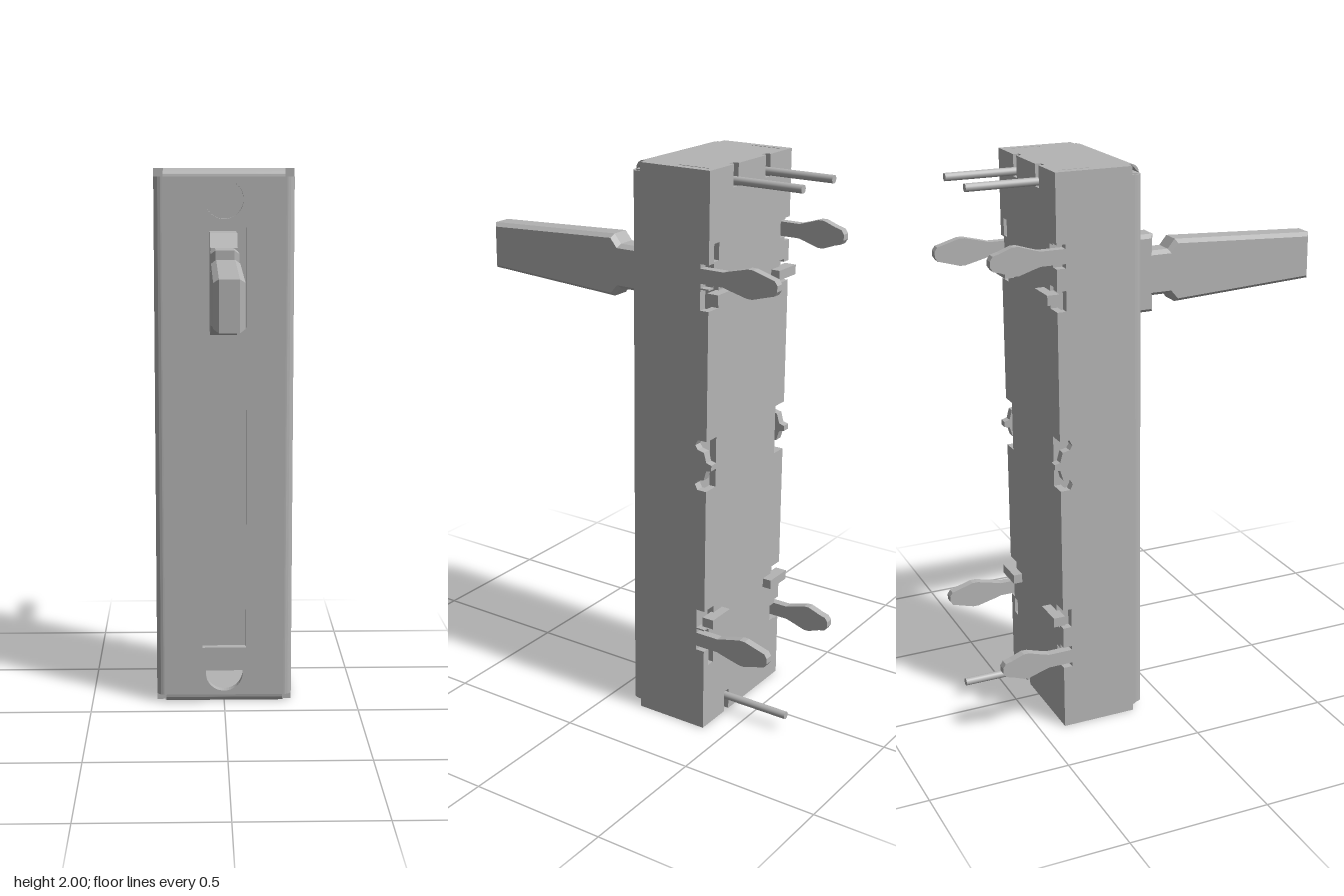
import * as THREE from 'three';
import { toCreasedNormals } from 'three/addons/utils/BufferGeometryUtils.js';

const metal = new THREE.MeshStandardMaterial({ color: 0xb4b4b4 });
metal.name = 'grey metal';

export function createModel() {
  const group = new THREE.Group();

  const add = (name, geometry) => {
    const mesh = new THREE.Mesh(geometry, metal);
    mesh.name = name;
    group.add(mesh);
    return mesh;
  };
  const box = (name, x0, x1, y0, y1, z0, z1) =>
    add(name, new THREE.BoxGeometry(x1 - x0, y1 - y0, z1 - z0)
      .translate((x0 + x1) / 2, (y0 + y1) / 2, (z0 + z1) / 2));
  const outline = (points) => new THREE.Shape(points.map(([a, b]) => new THREE.Vector2(a, b)));
  const rect = (x0, x1, y0, y1) => outline([[x0, y0], [x1, y0], [x1, y1], [x0, y1]]);
  const extrude = (shape, depth, extra = {}) =>
    new THREE.ExtrudeGeometry(shape, { depth, bevelEnabled: false, curveSegments: 24, ...extra });
  // Profile drawn as (-z, y), extruded along x from x0
  const alongX = (shape, x0, depth, extra) =>
    extrude(shape, depth, extra).rotateY(Math.PI / 2).translate(x0, 0, 0);
  // Plan drawn as (x, -z), extruded along y from y0
  const alongY = (shape, y0, depth) =>
    extrude(shape, depth).rotateX(-Math.PI / 2).translate(0, y0, 0);

  // Front plate with travel slot and two screw holes
  const face = rect(-0.225, 0.225, 0.03, 1.97);
  face.holes.push(rect(-0.082, 0.082, 0.215, 1.79));
  for (const y of [0.115, 1.89]) {
    face.holes.push(new THREE.Path().absarc(0, y, 0.07, 0, Math.PI * 2, true));
  }
  add('frontPlate', extrude(face, 0.03).translate(0, 0, -0.13));

  // Rounded bends around the front plate
  const bend = (cx, cy, start) => {
    const s = new THREE.Shape();
    s.moveTo(cx, cy);
    s.absarc(cx, cy, 0.03, start, start + Math.PI / 2, false);
    s.closePath();
    return s;
  };
  const smooth = (g) => toCreasedNormals(g, 0.6);
  add('leftBend', smooth(alongY(bend(0.225, 0.13, -Math.PI / 2), 0.03, 1.94)));
  add('rightBend', smooth(alongY(bend(-0.225, 0.13, Math.PI), 0.03, 1.94)));
  add('topBend', smooth(alongX(bend(0.13, 1.97, Math.PI / 2), -0.22, 0.44)));
  add('bottomBend', smooth(alongX(bend(0.13, 0.03, Math.PI), -0.22, 0.44)));

  // Side walls, with rear notches at the lugs, clips and middle crimp
  for (const side of [-1, 1]) {
    const clipY = side > 0 ? 1.655 : 1.725;
    const notch = (a, b) => [[0.41, a], [0.378, a], [0.378, b], [0.41, b]];
    const upper = [[1.54, 1.61], [clipY - 0.04, clipY - 0.025], [clipY + 0.025, clipY + 0.04]]
      .filter(([a]) => a >= 1.6 || a === 1.54);
    const lower = upper.map(([a, b]) => [2 - b, 2 - a]).reverse();
    const rear = [
      ...lower.flatMap(([a, b]) => notch(a, b)),
      [0.41, 0.91], [0.375, 0.91], [0.365, 0.93], [0.375, 0.945], [0.4, 0.95], [0.41, 0.985], [0.43, 0.99],
      [0.43, 1.01], [0.41, 1.015], [0.4, 1.05], [0.375, 1.055], [0.365, 1.07], [0.375, 1.09], [0.41, 1.09],
      ...upper.flatMap(([a, b]) => notch(a, b)),
    ];
    const wall = outline([[0.14, 0], [0.41, 0], ...rear, [0.41, 2], [0.14, 2],
      [0.14, 1.97], [0.13, 1.97], [0.13, 0.03], [0.14, 0.03]]);
    const x0 = side > 0 ? 0.225 : -0.255;
    add('sideWall', alongX(wall, x0, 0.03));

    // Snap-in mounting clips and folded lugs, mirrored top to bottom
    const tip = side > 0 ? 0.665 : 0.638;
    const wide = side > 0 ? 0.565 : 0.55;
    const half = [[0.38, 0.025], [0.465, 0.025], [0.49, 0.032], [wide - 0.01, 0.048], [wide + 0.01, 0.048],
      [tip - 0.035, 0.032], [tip - 0.01, 0.025], [tip, 0.01]];
    for (const y of [clipY, 2 - clipY]) {
      const clip = outline([
        ...half.map(([u, h]) => [u, y - h]),
        ...half.slice().reverse().map(([u, h]) => [u, y + h]),
      ]);
      add('mountingClip', alongX(clip, x0, 0.03));
    }
    for (const y of [1.583, 0.417]) {
      const [a, b] = side > 0 ? [0.14, 0.25] : [-0.25, -0.14];
      box('foldedLug', a, b, y - 0.017, y + 0.017, -0.443, -0.4);
    }
  }

  // End caps with a narrow slit beside each wall
  for (const y0 of [0, 1.97]) {
    const cap = rect(-0.225, 0.225, 0.13, 0.39);
    for (const x of [-0.222, 0.222]) cap.holes.push(rect(x - 0.0025, x + 0.0025, 0.27, 0.384));
    add('endCap', alongY(cap, y0, 0.03));
  }

  // Back plate, notched at the edges and around the pins
  const edge = [[0.24, 0.3], [0.38, 0.46], [0.91, 1.09], [1.54, 1.62], [1.7, 1.76]];
  const edgePoints = (s) => edge.flatMap(([a, b]) =>
    [[s * 0.225, a], [s * 0.195, a], [s * 0.195, b], [s * 0.225, b]]);
  const back = outline([
    [-0.225, 0], [0.085, 0], [0.085, 0.08], [0.115, 0.08], [0.115, 0], [0.225, 0],
    ...edgePoints(1),
    [0.225, 2], [0.115, 2], [0.115, 1.925], [0.085, 1.925], [0.085, 2],
    [-0.085, 2], [-0.085, 1.925], [-0.115, 1.925], [-0.115, 2], [-0.225, 2],
    ...edgePoints(-1).reverse(),
  ]);
  add('backPlate', extrude(back, 0.025).translate(0, 0, -0.41));

  // Solder pins: two at the top, one at the bottom
  for (const [x, y] of [[-0.1, 1.945], [0.1, 1.945], [0.1, 0.06]]) {
    add('solderPin', new THREE.CylinderGeometry(0.014, 0.014, 0.28, 16)
      .rotateX(Math.PI / 2).translate(x, y, -0.52));
  }

  // Slider carriage inside the housing
  const carriage = outline([[0.14, 1.435], [0.2, 1.39], [0.38, 1.39], [0.38, 1.765], [0.2, 1.765], [0.14, 1.715]]);
  add('carriage', alongX(carriage, -0.05, 0.1));

  // Lever with chamfered edges, a neck and a tapered grip
  const lever = outline([
    [0.2, 1.437], [-0.04, 1.437], [-0.04, 1.495], [-0.1, 1.495], [-0.127, 1.463], [-0.67, 1.49],
    [-0.67, 1.66], [-0.127, 1.688], [-0.1, 1.655], [-0.04, 1.655], [-0.04, 1.715], [0.2, 1.715],
  ].reverse());
  add('lever', alongX(lever, -0.033, 0.066, {
    bevelEnabled: true, bevelThickness: 0.018, bevelSize: 0.013, bevelOffset: -0.013, bevelSegments: 1,
  }));

  return group;
}
